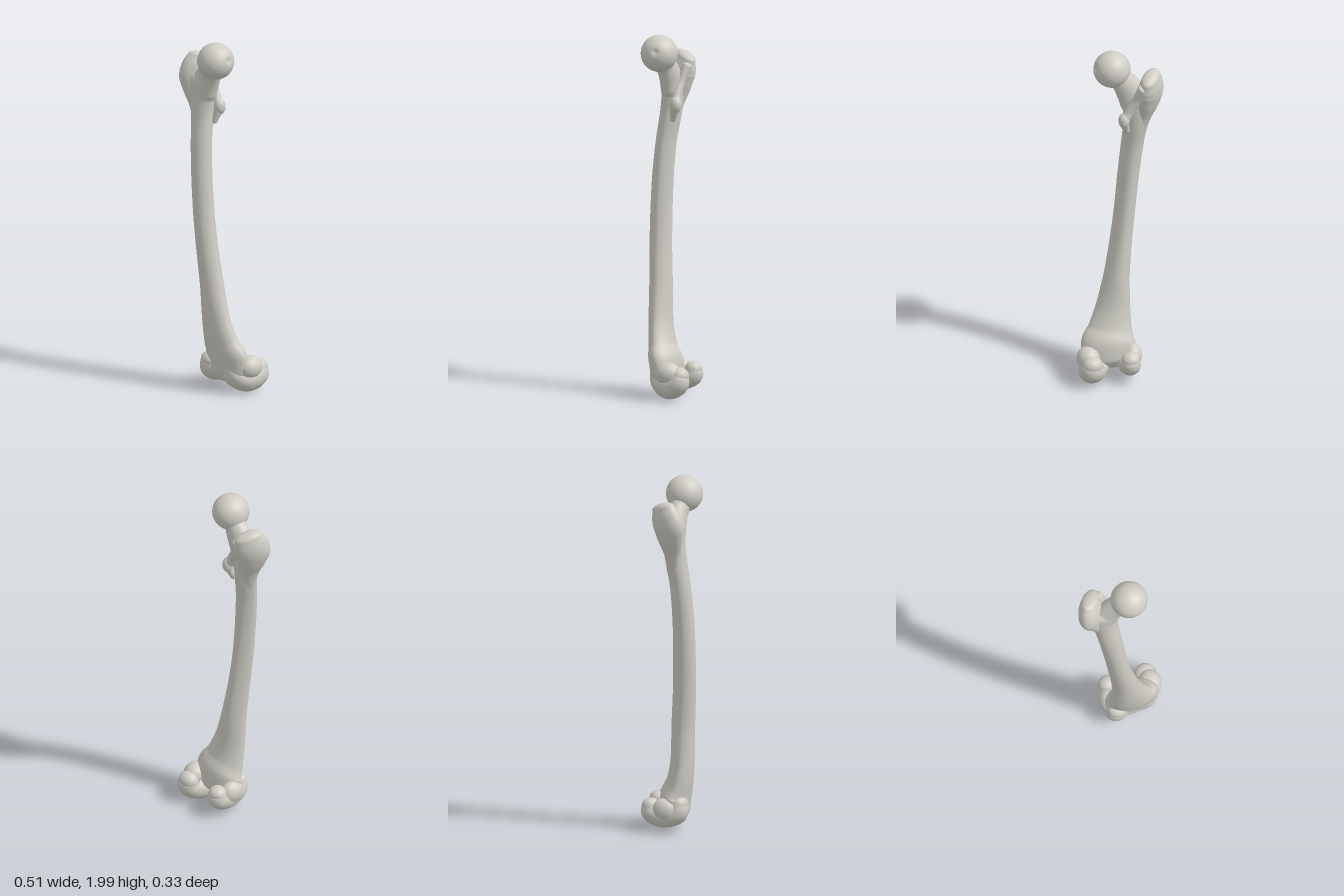
import * as THREE from 'three';

const V = (x, y, z) => new THREE.Vector3(x, y, z);
const bone = new THREE.MeshStandardMaterial({ color: 0xcfcdc5 });
bone.name = 'bone';

function part(name, geometry) {
  const mesh = new THREE.Mesh(geometry, bone);
  mesh.name = name;
  return mesh;
}

// Smooth loft through stations [x, y, z, halfWidth, halfDepth] with domed ends.
// "side" is the direction of halfWidth; "shape" may reshape the unit section.
function sweep(name, stations, { side = V(1, 0, 0), dome = 0.04, steps = 40, shape } = {}) {
  const SEG = 40, CAP = 8;
  const path = new THREE.CatmullRomCurve3(stations.map((s) => V(s[0], s[1], s[2])));
  const radii = new THREE.CatmullRomCurve3(stations.map((s) => V(s[3], s[4], 0)));
  const position = [], index = [];
  let rings = 0;

  const ring = (t, scale, shift) => {
    const tangent = path.getTangent(t);
    const c = path.getPoint(t).addScaledVector(tangent, shift);
    const r = radii.getPoint(t);
    const a = side.clone().addScaledVector(tangent, -side.dot(tangent)).normalize();
    const b = tangent.clone().cross(a);
    for (let j = 0; j < SEG; j++) {
      const angle = (j / SEG) * Math.PI * 2;
      let u = Math.cos(angle), v = Math.sin(angle);
      if (shape) [u, v] = shape(u, v, t);
      const p = c.clone().addScaledVector(a, u * r.x * scale).addScaledVector(b, v * r.y * scale);
      position.push(p.x, p.y, p.z);
    }
    rings++;
  };

  for (let i = CAP; i > 0; i--) {
    const k = (i / CAP) * Math.PI / 2;
    ring(0, Math.cos(k), -Math.sin(k) * dome);
  }
  for (let i = 0; i <= steps; i++) ring(i / steps, 1, 0);
  for (let i = 1; i <= CAP; i++) {
    const k = (i / CAP) * Math.PI / 2;
    ring(1, Math.cos(k), Math.sin(k) * dome);
  }
  for (let i = 0; i < rings - 1; i++) {
    for (let j = 0; j < SEG; j++) {
      const p = i * SEG + j, q = i * SEG + ((j + 1) % SEG);
      index.push(p, q, p + SEG, q, q + SEG, p + SEG);
    }
  }
  const geometry = new THREE.BufferGeometry();
  geometry.setAttribute('position', new THREE.Float32BufferAttribute(position, 3));
  geometry.setIndex(index);
  geometry.computeVertexNormals();
  return part(name, geometry);
}

function ellipsoid(name, center, size) {
  const geometry = new THREE.SphereGeometry(1, 40, 28);
  geometry.scale(...size);
  geometry.translate(...center);
  return part(name, geometry);
}

// Ball of the joint with a shallow pit on its inner side
function makeHead() {
  const geometry = new THREE.SphereGeometry(1, 96, 64);
  const pit = V(0.97, 0.22, -0.12).normalize();
  const pos = geometry.attributes.position;
  const p = V(0, 0, 0);
  for (let i = 0; i < pos.count; i++) {
    p.fromBufferAttribute(pos, i).normalize();
    const d = p.angleTo(pit) / 0.17;
    p.multiplyScalar(0.102 * (1 - 0.1 * Math.exp(-d * d)));
    pos.setXYZ(i, p.x, p.y, p.z);
  }
  geometry.computeVertexNormals();
  geometry.translate(0.03, 1.898, 0.066);
  return part('head', geometry);
}

// Bowed shaft from [y, xMin, xMax, zFront, zBack], narrowing to a ridge at the back
function makeShaft() {
  const outline = [
    [0.13, -0.09, 0.21, 0.085, -0.075],
    [0.2, -0.09, 0.215, 0.095, -0.07],
    [0.28, -0.076, 0.17, 0.108, -0.035],
    [0.4, -0.07, 0.125, 0.12, -0.01],
    [0.6, -0.07, 0.075, 0.13, 0.0],
    [0.8, -0.085, 0.04, 0.14, 0.013],
    [1.0, -0.105, 0.014, 0.144, 0.02],
    [1.2, -0.125, -0.003, 0.14, 0.02],
    [1.4, -0.147, -0.02, 0.125, 0.01],
    [1.55, -0.166, -0.03, 0.106, -0.012],
    [1.65, -0.19, -0.025, 0.098, -0.022],
    [1.74, -0.215, -0.01, 0.097, -0.022],
  ];
  const stations = outline.map(([y, x0, x1, z1, z0]) =>
    [(x0 + x1) / 2, y, (z0 + z1) / 2, (x1 - x0) / 2, (z1 - z0) / 2]);
  const ridge = (u, v, t) => {
    const mid = Math.sin(Math.PI * t);
    return [u * (1 - 0.25 * mid * Math.max(0, v)), v];
  };
  return sweep('shaft', stations, { dome: 0.06, steps: 90, shape: ridge });
}

export function createModel() {
  const model = new THREE.Group();
  model.name = 'thighBone';

  const upperEnd = new THREE.Group();
  upperEnd.name = 'upperEnd';
  upperEnd.add(
    makeHead(),
    sweep('neck', [
      [-0.11, 1.6, 0.04, 0.06, 0.052],
      [-0.098, 1.7, 0.04, 0.09, 0.058],
      [-0.055, 1.785, 0.043, 0.076, 0.056],
      [-0.015, 1.845, 0.053, 0.064, 0.058],
      [0.025, 1.895, 0.064, 0.068, 0.066],
    ], { dome: 0.02 }),
    sweep('greaterTrochanter', [
      [-0.125, 1.5, 0.045, 0.03, 0.035],
      [-0.14, 1.6, 0.035, 0.042, 0.055],
      [-0.162, 1.69, 0.025, 0.058, 0.085],
      [-0.175, 1.76, 0.018, 0.064, 0.101],
      [-0.174, 1.81, 0.005, 0.06, 0.095],
      [-0.17, 1.855, -0.01, 0.046, 0.078],
    ], { side: V(0.81, 0, 0.59), dome: 0.03 }),
    // Crest running down the back between the two trochanters
    sweep('trochantericCrest', [
      [-0.12, 1.81, -0.04, 0.03, 0.03],
      [-0.09, 1.73, -0.02, 0.03, 0.022],
      [-0.05, 1.66, -0.008, 0.028, 0.024],
      [-0.025, 1.605, -0.006, 0.026, 0.028],
      [-0.04, 1.53, 0.012, 0.018, 0.018],
    ], { dome: 0.02 }),
    ellipsoid('lesserTrochanter', [-0.021, 1.608, -0.01], [0.031, 0.046, 0.033]),
  );

  // Rounded runners curling from the front, under and up behind the knee
  const lowerEnd = new THREE.Group();
  lowerEnd.name = 'lowerEnd';
  lowerEnd.add(
    sweep('innerCondyle', [
      [0.095, 0.155, 0.04, 0.065, 0.045],
      [0.125, 0.1, 0.012, 0.075, 0.062],
      [0.162, 0.076, -0.045, 0.078, 0.071],
      [0.182, 0.1, -0.1, 0.069, 0.065],
      [0.18, 0.142, -0.113, 0.056, 0.05],
    ], { dome: 0.045 }),
    sweep('outerCondyle', [
      [-0.025, 0.165, 0.05, 0.062, 0.05],
      [-0.035, 0.115, 0.035, 0.066, 0.064],
      [-0.038, 0.095, -0.04, 0.064, 0.066],
      [-0.036, 0.115, -0.103, 0.058, 0.06],
      [-0.035, 0.15, -0.112, 0.05, 0.048],
    ], { dome: 0.04 }),
    ellipsoid('innerEpicondyle', [0.188, 0.148, -0.045], [0.064, 0.066, 0.075]),
    ellipsoid('outerEpicondyle', [-0.062, 0.13, -0.025], [0.053, 0.068, 0.07]),
    ellipsoid('kneecapGroove', [0.045, 0.135, 0.01], [0.12, 0.085, 0.078]),
  );

  model.add(makeShaft(), upperEnd, lowerEnd);
  return model;
}
